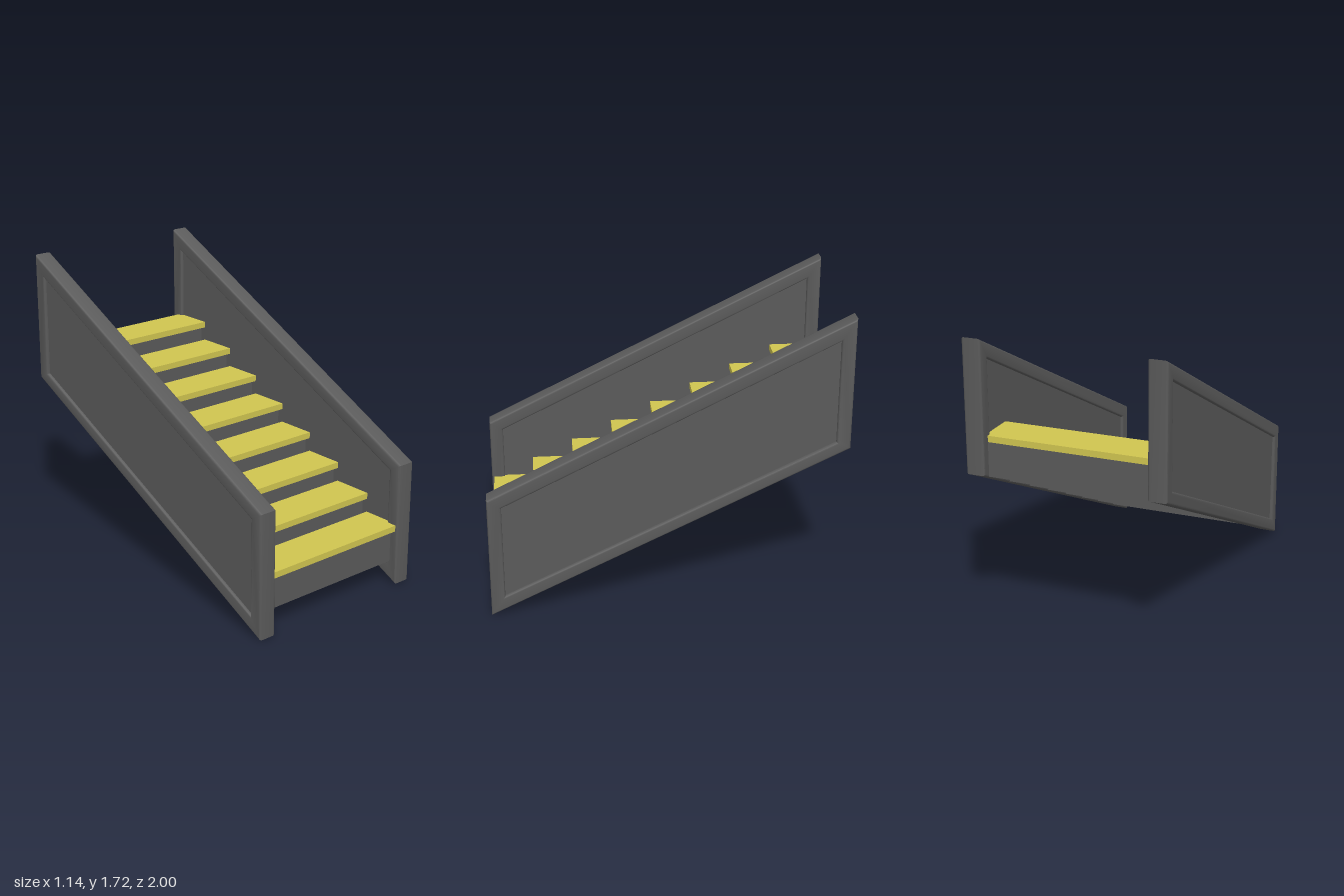
import * as THREE from 'three';
import { toCreasedNormals } from 'three/addons/utils/BufferGeometryUtils.js';

const dark = new THREE.MeshStandardMaterial({ color: 0x5a5a5a });
const yellow = new THREE.MeshStandardMaterial({ color: 0xd0c550 });

const STEPS = 8, RISE = 0.116, RUN = 0.242;
const INNER_X = 0.462, OUTER_X = 0.57;

// Side outlines as [z, y] corners
const outline = [[1, 0], [-1, 0.96], [-1, 1.715], [1, 0.725]];
const opening = [[0.92, 0.12], [-0.92, 1.0], [-0.92, 1.59], [0.92, 0.675]];

const toPoints = (corners) => corners.map(([z, y]) => new THREE.Vector2(-z, y));

// Extrude a side outline across x, centred on x = 0
function sidePlate(shape, width, bevel) {
  const geo = new THREE.ExtrudeGeometry(shape, {
    depth: width - 2 * bevel,
    bevelEnabled: bevel > 0,
    bevelThickness: bevel,
    bevelSize: bevel,
    bevelOffset: -bevel,
    bevelSegments: 3,
  });
  geo.translate(0, 0, -(width - 2 * bevel) / 2);
  geo.rotateY(Math.PI / 2);
  return toCreasedNormals(geo, 0.7);
}

function addMesh(parent, name, geometry, material, x = 0, y = 0, z = 0) {
  const mesh = new THREE.Mesh(geometry, material);
  mesh.name = name;
  mesh.position.set(x, y, z);
  parent.add(mesh);
}

export function createModel() {
  const model = new THREE.Group();
  model.name = 'staircase';

  // Side walls: a bevelled frame around a recessed panel
  const frameShape = new THREE.Shape(toPoints(outline));
  frameShape.holes.push(new THREE.Path(toPoints(opening)));
  const width = OUTER_X - INNER_X;
  const frameGeo = sidePlate(frameShape, width, 0.014);
  const panelGeo = sidePlate(new THREE.Shape(toPoints(opening)), width - 0.036, 0);
  for (const side of [1, -1]) {
    const wall = new THREE.Group();
    wall.name = side > 0 ? 'leftWall' : 'rightWall';
    wall.position.x = side * (INNER_X + OUTER_X) / 2;
    addMesh(wall, 'frame', frameGeo, dark);
    addMesh(wall, 'recessedPanel', panelGeo, dark);
    model.add(wall);
  }

  // Steps: a grey block under a yellow tread with a small nosing
  const span = 2 * (INNER_X + 0.022);
  const treadHeight = 0.036, blockHeight = 0.196, nosing = 0.035;
  const treadGeo = new THREE.BoxGeometry(span, treadHeight, RUN);
  const blockGeo = new THREE.BoxGeometry(span, blockHeight, RUN - nosing);
  for (let i = 0; i < STEPS; i++) {
    const step = new THREE.Group();
    step.name = `step${i + 1}`;
    step.position.set(0, 0.361 + i * RISE, 0.986 - i * RUN);
    addMesh(step, 'tread', treadGeo, yellow, 0, -treadHeight / 2, -RUN / 2);
    addMesh(step, 'riserBlock', blockGeo, dark, 0, -treadHeight - blockHeight / 2, -(RUN + nosing) / 2);
    model.add(step);
  }

  return model;
}
